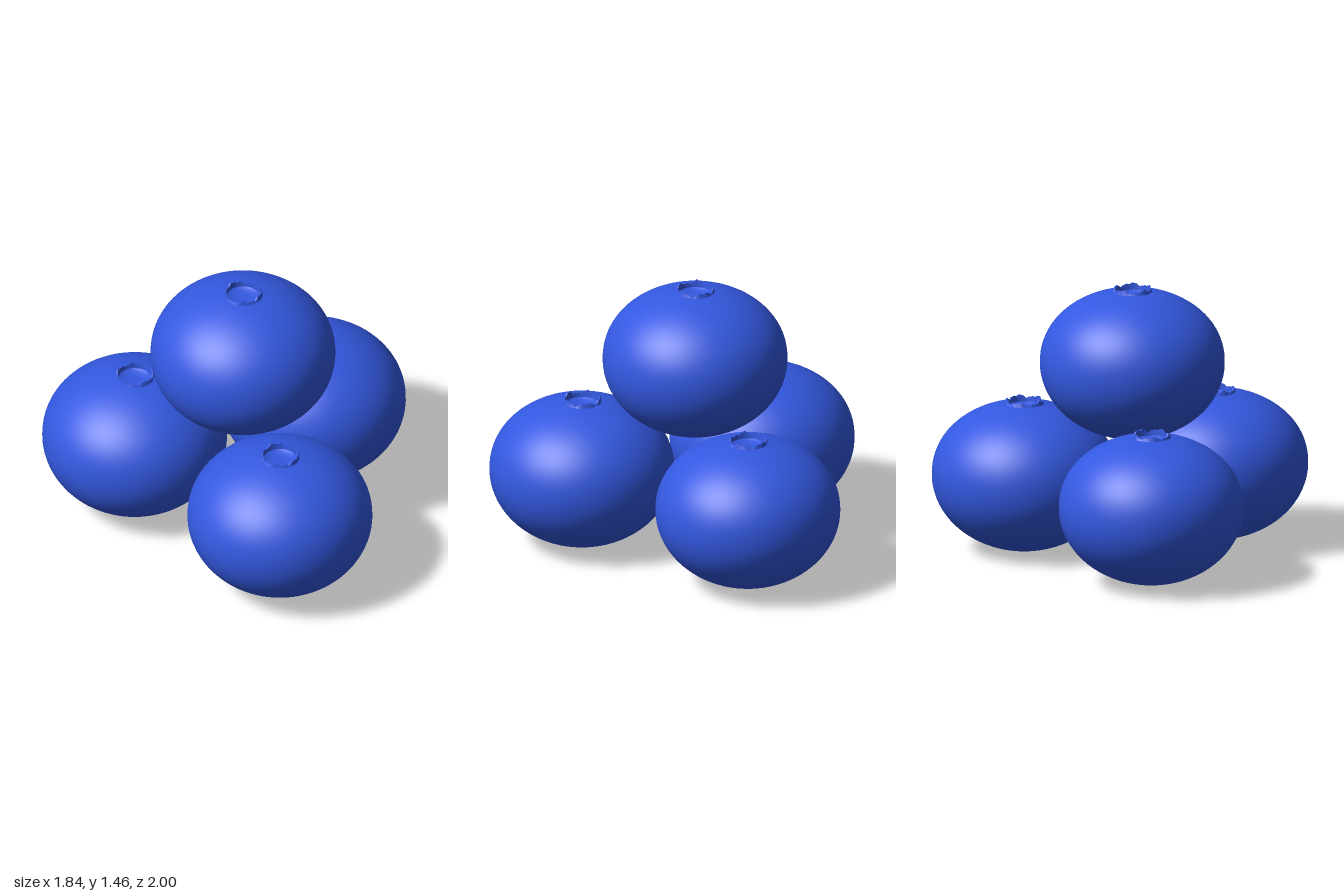
import * as THREE from 'three';
import { mergeVertices, toCreasedNormals } from 'three/addons/utils/BufferGeometryUtils.js';

const RADIUS = 0.483;
const WAIST = 0.41; // height of the widest ring
const CROWN_BASE = 0.79;

// Small jagged height around the crown rim, periodic in the angle
function jag(a, phase) {
  const wave = Math.sin(5 * a + phase) * 0.5 + Math.sin(11 * a + 2 * phase) * 0.3 + Math.sin(23 * a) * 0.2;
  return 0.008 + 0.013 * wave;
}

function lathe(points, segments) {
  return new THREE.LatheGeometry(points.map(([r, y]) => new THREE.Vector2(r, y)), segments);
}

function smooth(geometry, crease) {
  geometry.deleteAttribute('uv');
  geometry.deleteAttribute('normal');
  return toCreasedNormals(mergeVertices(geometry, 1e-5), crease);
}

// Squashed round body, slightly pointed below and flatter on top
function bodyGeometry() {
  const points = [[0, 0.002]];
  const steps = 40;
  const end = Math.acos(0.095 / RADIUS);
  for (let i = 1; i <= steps; i++) {
    const t = -Math.PI / 2 + (i / steps) * (Math.PI / 2 + end);
    const r = RADIUS * Math.cos(t);
    const s = Math.sin(t);
    points.push([r, WAIST + (s < 0 ? 0.4 * s : 0.388 * Math.pow(s, 0.94))]);
  }
  return smooth(lathe(points, 72), 1);
}

// Ragged rim around a shallow dimple with a tiny central bump
function crownGeometry(phase) {
  const rim = 0.798;
  const geometry = lathe([
    [0.104, CROWN_BASE - 0.004], [0.096, rim], [0.088, rim], [0.085, 0.778],
    [0.07, 0.768], [0.035, 0.764], [0.01, 0.764], [0, 0.77],
  ], 72);
  const p = geometry.attributes.position;
  for (let i = 0; i < p.count; i++) {
    if (Math.abs(p.getY(i) - rim) < 1e-4) {
      p.setY(i, rim + jag(Math.atan2(p.getX(i), p.getZ(i)), phase));
    }
  }
  return smooth(geometry, 0.8);
}

export function createModel() {
  const group = new THREE.Group();
  const material = new THREE.MeshStandardMaterial({ color: 0x3358e0, side: THREE.DoubleSide });
  const body = bodyGeometry();

  // Three berries on the ground and one resting on top
  const berries = [
    ['frontBerry', -0.44, 0, 0.515],
    ['backBerry', -0.415, 0, -0.517],
    ['leftBerry', 0.437, 0, -0.025],
    ['topBerry', -0.147, 0.64, 0],
  ];
  berries.forEach(([name, x, y, z], i) => {
    const berry = new THREE.Group();
    berry.name = name;
    const skin = new THREE.Mesh(body, material);
    skin.name = 'berryBody';
    const crown = new THREE.Mesh(crownGeometry(1 + i * 1.7), material);
    crown.name = 'berryCrown';
    berry.add(skin, crown);
    berry.position.set(x, y, z);
    group.add(berry);
  });
  return group;
}
